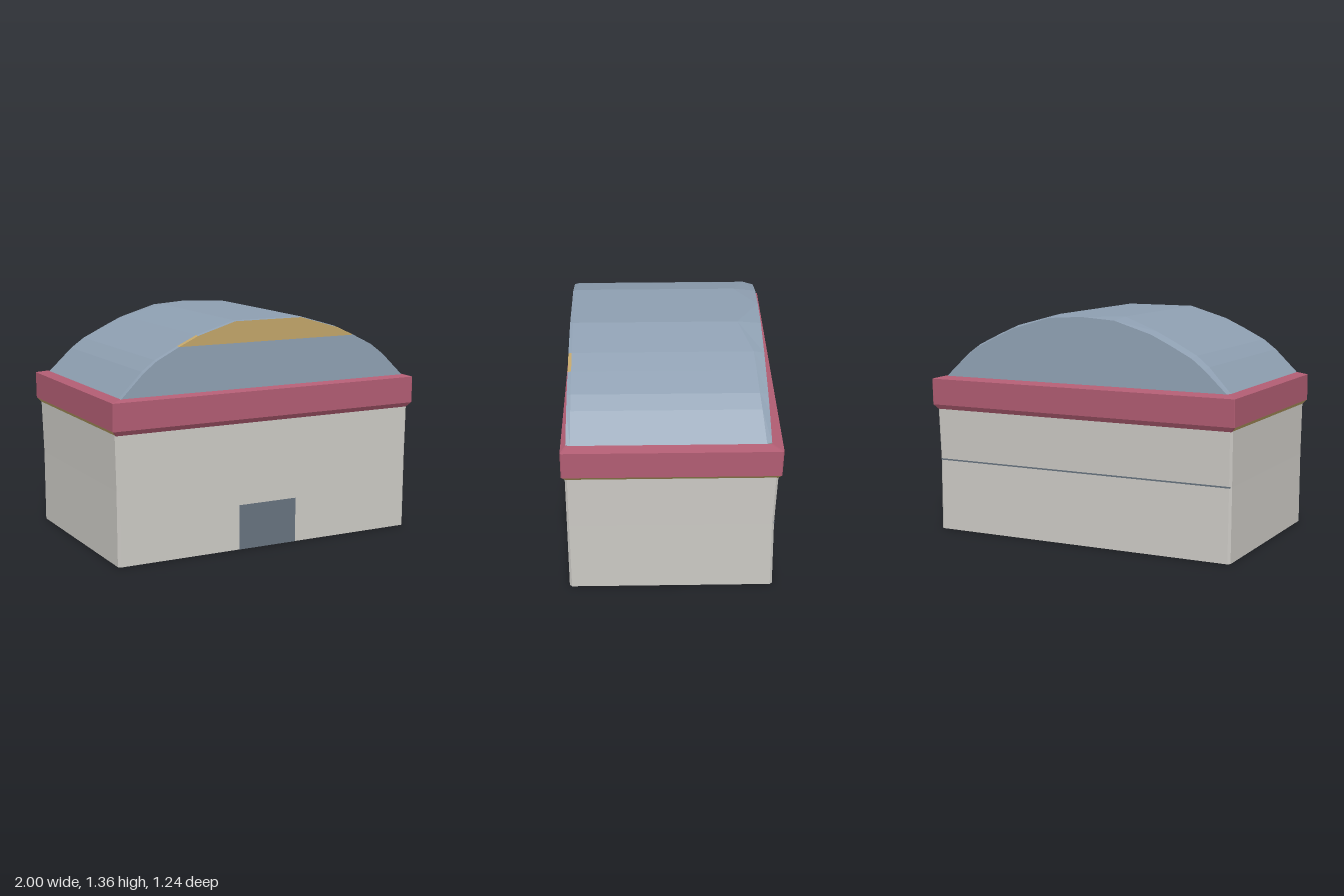
import * as THREE from 'three';

const mat = (color) => new THREE.MeshStandardMaterial({ color, flatShading: true, side: THREE.DoubleSide });
const wallMat = mat(0xcbc9c4);
const redMat = mat(0xb05c72);
const roofMat = mat(0x8d9eb0);
const goldMat = mat(0xbfa368);
const darkMat = mat(0x66727e);

// Skin between successive rings of [x, y, z]; keep(j) picks the strips to build
function loft(rings, closed, keep = () => true) {
  const out = [];
  const n = rings[0].length;
  for (let i = 0; i < rings.length - 1; i++) {
    for (let j = 0; j < (closed ? n : n - 1); j++) {
      if (!keep(j)) continue;
      const k = (j + 1) % n;
      const [a, b, c, d] = [rings[i][j], rings[i][k], rings[i + 1][k], rings[i + 1][j]];
      out.push(...a, ...b, ...c, ...a, ...c, ...d);
    }
  }
  const g = new THREE.BufferGeometry();
  g.setAttribute('position', new THREE.Float32BufferAttribute(out, 3));
  g.computeVertexNormals();
  return g;
}

// Rectangle with chamfered corners at height y
function ring(y, x, zf, zb, c) {
  return [
    [-x + c, y, zf], [x - c, y, zf], [x, y, zf - c], [x, y, zb + c],
    [x - c, y, zb], [-x + c, y, zb], [-x, y, zb + c], [-x, y, zf - c],
  ];
}

// Flat end panel of the vault, leaning with height
function endPanel(points, zAt, back) {
  const g = new THREE.ShapeGeometry(new THREE.Shape(points.map(([x, y]) => new THREE.Vector2(x, y))));
  if (back) g.rotateY(Math.PI);
  const p = g.attributes.position;
  for (let i = 0; i < p.count; i++) p.setZ(i, zAt(p.getY(i)));
  g.computeVertexNormals();
  return g;
}

export function createModel() {
  const model = new THREE.Group();
  const add = (name, geometry, material) => {
    const m = new THREE.Mesh(geometry, material);
    m.name = name;
    model.add(m);
    return m;
  };

  // Hollow walls, open below, with a dark seam across the back
  add('walls', loft([
    ring(0, 0.97, 0.6, -0.592, 0.014),
    ring(0.44, 0.972, 0.6, -0.587, 0.013),
    ring(0.76, 0.978, 0.6, -0.599, 0.013),
  ], true), wallMat);
  const seam = add('backSeam', new THREE.BoxGeometry(1.93, 0.009, 0.006), darkMat);
  seam.position.set(0, 0.44, -0.586);

  // Door panel
  const door = add('door', new THREE.PlaneGeometry(0.38, 0.27), darkMat);
  door.material = new THREE.MeshStandardMaterial({ color: 0x66727e });
  door.position.set(-0.01, 0.135, 0.602);

  // Eaves band with bevelled underside, gold beneath the two short sides
  const under = [ring(0.757, 0.975, 0.6, -0.6, 0.006), ring(0.785, 1, 0.62, -0.617, 0.006)];
  const isSide = (j) => j === 2 || j === 6;
  add('eavesUndersideLong', loft(under, true, (j) => !isSide(j)), redMat);
  add('eavesUndersideShort', loft(under, true, isSide), goldMat);
  add('eavesBand', loft([
    under[1],
    ring(0.945, 1, 0.62, -0.622, 0.006),
    ring(0.96, 0.94, 0.59, -0.557, 0.006),
  ], true), redMat);

  // Vault profile, mirrored: x, y, z where the rear bevel begins
  const half = [
    [0.94, 0.96, -0.53], [0.8, 1.1, -0.51], [0.72, 1.16, -0.5],
    [0.58, 1.23, -0.49], [0.46, 1.285, -0.48], [0.22, 1.355, -0.4],
  ];
  const profile = [
    ...half.map(([x, y, z]) => [-x, y, z]),
    [0, 1.355, -0.53],
    ...half.slice().reverse(),
  ];
  const frontZ = (y) => 0.59 - (y - 0.96) * 0.025;
  const backZ = (y) => -0.559 + (y - 0.96) * 0.055;
  const frontEdge = profile.map(([x, y]) => [x * 0.995, y - (y > 0.96 ? 0.004 : 0)]);
  const backEdge = profile.map(([x, y]) => [x * 0.985, y - (y > 0.96 && x !== 0 ? 0.014 : 0)]);

  const rim = [
    frontEdge.map(([x, y]) => [x, y, frontZ(y)]),
    profile.map(([x, y]) => [x, y, 0.563]),
  ];
  const isGold = (j) => j === 3 || j === 8;
  add('vaultFrontRim', loft(rim, false, (j) => !isGold(j)), roofMat);
  add('vaultFrontRimGold', loft(rim, false, isGold), goldMat);
  add('vaultRoof', loft([
    rim[1],
    profile,
    backEdge.map(([x, y]) => [x, y, backZ(y)]),
  ], false), roofMat);

  // Vault ends: gold cap above the blue front panel, plain panel at the back
  const n = frontEdge.length;
  const lower = [...frontEdge.slice(0, 4), ...frontEdge.slice(n - 4)];
  add('vaultFrontPanel', endPanel(lower, frontZ, false), roofMat);
  add('vaultFrontCap', endPanel(frontEdge.slice(3, n - 3), frontZ, false), goldMat);
  add('vaultBackPanel', endPanel(backEdge, backZ, true), roofMat);

  return model;
}
